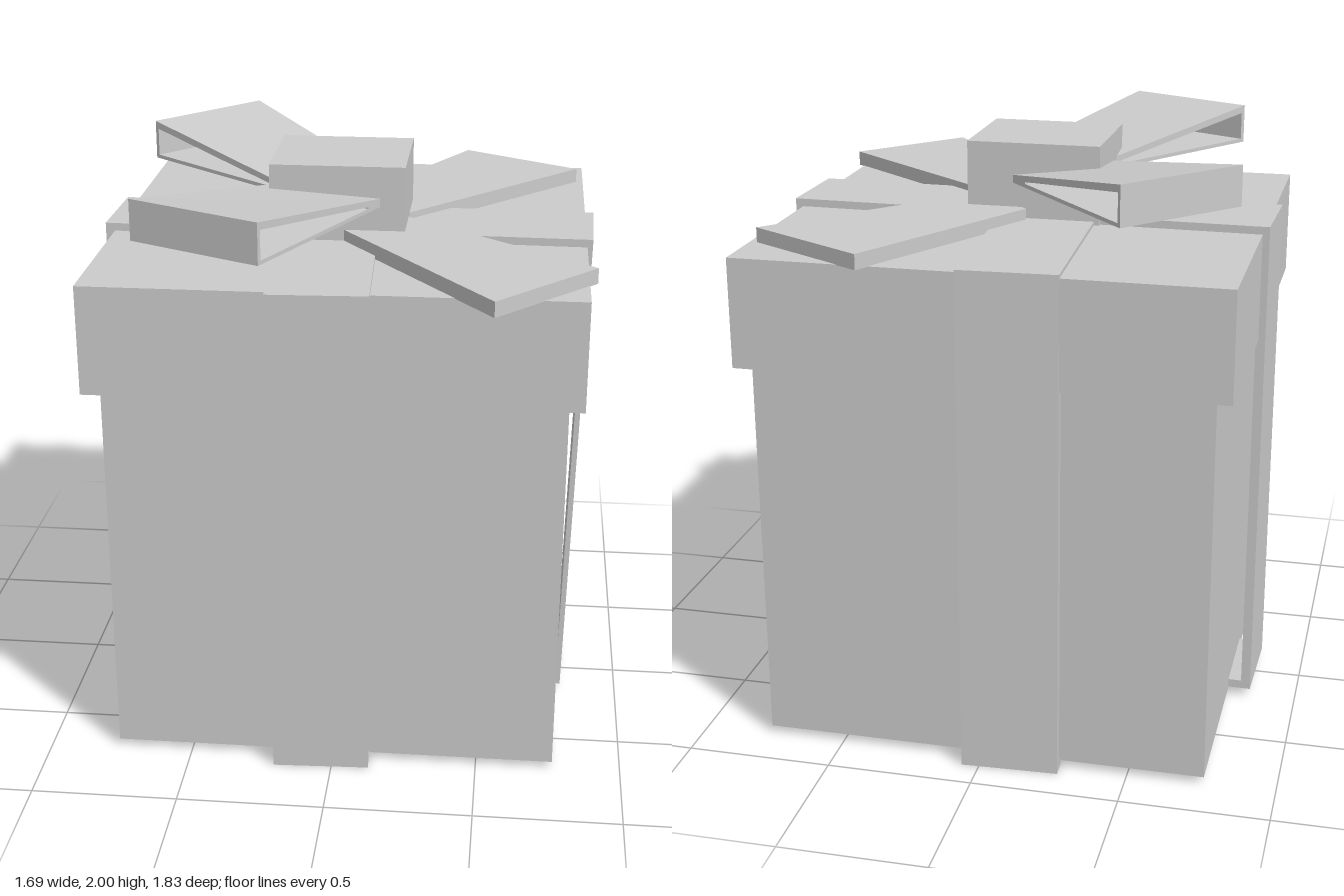
import * as THREE from 'three';

const material = new THREE.MeshStandardMaterial({ color: 0xcccccc, flatShading: true });

function add(group, name, geometry) {
  const mesh = new THREE.Mesh(geometry, material);
  mesh.name = name;
  group.add(mesh);
  return mesh;
}

// Box given by its two opposite corners
function block(group, name, [x0, y0, z0], [x1, y1, z1]) {
  const mesh = add(group, name, new THREE.BoxGeometry(x1 - x0, y1 - y0, z1 - z0));
  mesh.position.set((x0 + x1) / 2, (y0 + y1) / 2, (z0 + z1) / 2);
}

const points = (list) => list.map(([x, y]) => new THREE.Vector2(x, y));

// Unit-deep extrusion of an outline with an optional hole
function extrude(outline, hole, depth) {
  const shape = new THREE.Shape(points(outline));
  if (hole) shape.holes.push(new THREE.Path(points(hole)));
  return new THREE.ExtrudeGeometry(shape, { depth, bevelEnabled: false });
}

// Closed ribbon band running round the box
function band(group, name, outline, hole, width, x, z, angle) {
  const geometry = extrude(outline, hole, width).translate(0, 0, -width / 2);
  const mesh = add(group, name, geometry);
  mesh.position.set(x, 0, z);
  mesh.rotation.y = angle;
}

// Bow loop: side profile (0 = knot, 1 = tip) spread between two plan edges,
// each edge given as [inner x, inner z, outer x, outer z]
function loop(group, name, edgeA, edgeB, outline, hole) {
  const geometry = extrude(outline, hole, 1);
  const p = geometry.attributes.position;
  const mix = THREE.MathUtils.lerp;
  for (let i = 0; i < p.count; i++) {
    const t = p.getX(i), s = p.getZ(i);
    const x = mix(mix(edgeA[0], edgeA[2], t), mix(edgeB[0], edgeB[2], t), s);
    const z = mix(mix(edgeA[1], edgeA[3], t), mix(edgeB[1], edgeB[3], t), s);
    p.setXYZ(i, x, p.getY(i), z);
  }
  geometry.computeVertexNormals();
  add(group, name, geometry);
}

export function createModel() {
  const gift = new THREE.Group();
  gift.name = 'giftBox';

  // Box and lid
  block(gift, 'box', [-0.76, 0.025, -0.83], [0.765, 1.4, 0.69]);
  block(gift, 'lid', [-0.815, 1.36, -0.875], [0.815, 1.73, 0.742]);

  // Crossing ribbons, each slightly askew and leaning at one end
  band(gift, 'sideRibbon',
    [[-0.843, 0.03], [0.8, 0.03], [0.838, 1.757], [-0.843, 1.757]],
    [[-0.81, 0.06], [0.783, 0.06], [0.818, 1.725], [-0.81, 1.725]],
    0.33, 0, -0.015, -0.024);
  band(gift, 'frontRibbon',
    [[-0.887, 0], [0.757, 0], [0.795, 1.742], [-0.887, 1.742]],
    [[-0.85, 0.03], [0.742, 0.03], [0.778, 1.725], [-0.85, 1.725]],
    0.33, -0.068, 0, -Math.PI / 2 + 0.0417);

  // Knot
  block(gift, 'knot', [-0.26, 1.73, -0.2], [0.2, 2, 0.21]);

  // Raised open loops on the right
  const raised = [[0, 1.863], [1, 1.863], [1, 2], [0, 1.89]];
  const opening = [[0.12, 1.876], [0.98, 1.876], [0.98, 1.973], [0.12, 1.882]];
  loop(gift, 'frontRightLoop', [0.12, 0.2, -0.2, 0.89], [-0.2, 0.02, -0.64, 0.67], raised, opening);
  loop(gift, 'backRightLoop', [-0.2, 0.1, -0.76, -0.37], [0.04, -0.2, -0.43, -0.74], raised, opening);

  // Flattened loops on the left
  const flat = [[0, 1.728], [1, 1.728], [1, 1.78], [0, 1.78]];
  loop(gift, 'frontLeftLoop', [0.2, 0.03, 0.84, 0.55], [-0.015, 0.2, 0.52, 0.91], flat);
  loop(gift, 'backLeftLoop', [-0.01, -0.22, 0.37, -0.92], [0.2, -0.02, 0.79, -0.67], flat);

  return gift;
}
